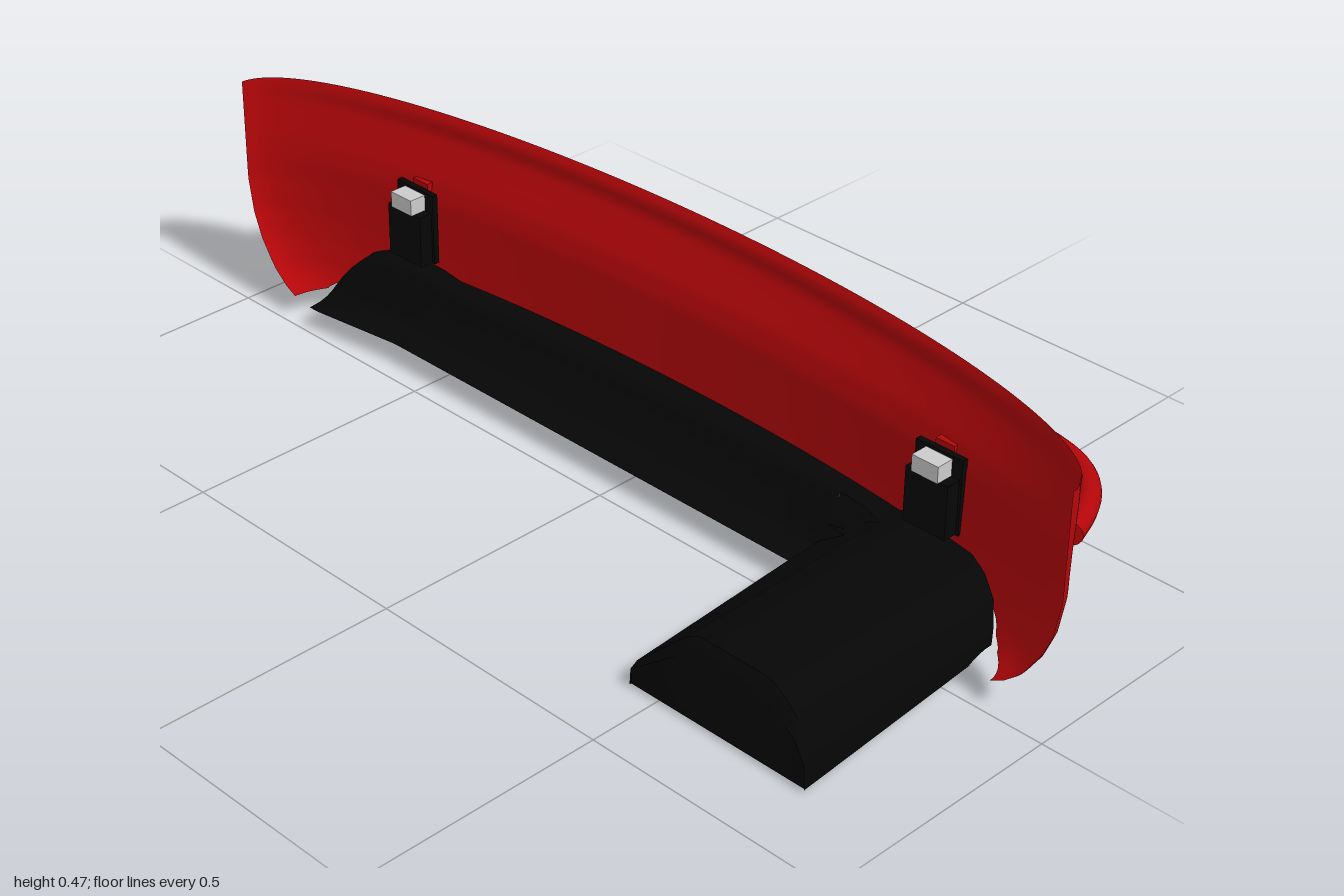
import * as THREE from 'three';
import { toCreasedNormals } from 'three/addons/utils/BufferGeometryUtils.js';

const red = new THREE.MeshStandardMaterial({ color: 0xb40609, side: THREE.DoubleSide });
const black = new THREE.MeshStandardMaterial({ color: 0x060606, side: THREE.DoubleSide });
const grey = new THREE.MeshStandardMaterial({ color: 0xcccccc });

// piecewise linear lookup through [input, output] pairs
function lookup(table, t) {
  if (t <= table[0][0]) return table[0][1];
  for (let i = 1; i < table.length; i++) {
    const [a, va] = table[i - 1], [b, vb] = table[i];
    if (t <= b) return va + (vb - va) * (t - a) / (b - a);
  }
  return table[table.length - 1][1];
}

// surface grid from a rule fn(u, v) -> [x, y, z]
function sheet(nu, nv, fn) {
  const pos = [], idx = [];
  for (let j = 0; j <= nv; j++)
    for (let i = 0; i <= nu; i++) pos.push(...fn(i / nu, j / nv));
  for (let j = 0; j < nv; j++)
    for (let i = 0; i < nu; i++) {
      const a = j * (nu + 1) + i, b = a + nu + 1;
      idx.push(a, a + 1, b, b, a + 1, b + 1);
    }
  const g = new THREE.BufferGeometry();
  g.setAttribute('position', new THREE.Float32BufferAttribute(pos, 3));
  g.setIndex(idx);
  g.computeVertexNormals();
  return g;
}

// bumper skin rules: half width and depth by height, lower edge by relative width
const halfWidth = [[0.045, 0.87], [0.06, 0.9], [0.09, 0.935], [0.14, 0.968], [0.19, 0.988], [0.26, 1], [0.465, 1]];
const depth = [[0.045, 0.19], [0.15, 0.197], [0.3, 0.202], [0.34, 0.212], [0.39, 0.236], [0.42, 0.249], [0.45, 0.247], [0.465, 0.257]];
const lowerEdge = [[0, 0.15], [0.74, 0.15], [0.8, 0.132], [0.846, 0.105], [0.9, 0.072], [0.943, 0.056], [1, 0.047]];
const skinZ = (a, y) => -0.02 - (lookup(depth, y) - 0.02) * Math.sqrt(Math.max(0, 1 - a * a));
const shellZ = (x, y) => skinZ(Math.min(1, Math.abs(x) / lookup(halfWidth, y)), y);

// undertray rules: front edge, rear height across the width, and the rise between them
const trayFront = [[0.6, -0.04], [0.8, -0.014]];
const trayTop = [[0.55, 0.152], [0.6, 0.165], [0.72, 0.165], [0.765, 0.145], [0.8, 0.1], [0.825, 0.05]];
const trayRise = [[0, 0], [0.35, 0.24], [0.55, 0.62], [0.7, 0.95], [1, 1]];
function trayY(x, z) {
  const a = Math.abs(x), zFront = lookup(trayFront, a);
  const t = (zFront - z) / (zFront - shellZ(x, lookup(trayTop, a)));
  return 0.045 + (lookup(trayTop, a) - 0.045) * lookup(trayRise, t);
}

// long forward tunnel: an arched section swept along z with a closed front end
const arch = [[0.44, 0], [0.442, 0.25], [0.5, 0.6], [0.55, 0.9], [0.58, 1], [0.73, 1],
  [0.765, 0.87], [0.8, 0.65], [0.82, 0.38], [0.822, 0]];
function tunnelPoint(u, v, rows) {
  const [x, f] = arch[Math.round(u * (arch.length - 1))];
  const row = Math.round(v * rows);
  const zRear = shellZ(x, lookup(trayTop, x));
  const z = row === 0 ? 0.357 : row === 1 ? 0.36 : 0.345 + (zRear - 0.345) * (row - 2) / (rows - 2);
  const bottom = 0.042 - 0.037 * Math.max(0, (z + 0.03) / 0.39);
  let y = bottom + (0.164 - bottom) * f * [0, 0.8, 1][Math.min(row, 2)];
  if (z < -0.04) y = Math.max(y, trayY(x, z));
  return [x, y, z];
}

export function createModel() {
  const model = new THREE.Group();
  const add = (name, geometry, material, parent = model) => {
    const m = new THREE.Mesh(geometry, material);
    m.name = name;
    parent.add(m);
    return m;
  };
  const box = (name, mat, parent, w, h, d, x, y, z) =>
    add(name, new THREE.BoxGeometry(w, h, d), mat, parent).position.set(x, y, z);
  const rod = (name, from, to, r) => {
    const a = new THREE.Vector3(...from), b = new THREE.Vector3(...to);
    const dir = b.clone().sub(a);
    const m = add(name, new THREE.CylinderGeometry(r, r, dir.length(), 20), red);
    m.position.copy(a).add(b).multiplyScalar(0.5);
    m.quaternion.setFromUnitVectors(new THREE.Vector3(0, 1, 0), dir.normalize());
  };

  // curved bumper skin with the raised lower cut-out
  add('bumperShell', sheet(120, 32, (u, v) => {
    const s = Math.sin((u - 0.5) * Math.PI), a = Math.abs(s);
    const bottom = lookup(lowerEdge, a);
    const y = bottom + (0.465 - bottom) * v;
    return [s * lookup(halfWidth, y), y, skinZ(a, y)];
  }), red);

  // black undertray filling the cut-out, and its tunnel on the left
  add('undertray', sheet(60, 20, (u, v) => {
    const x = -0.822 + 1.264 * u, a = Math.abs(x);
    const zFront = lookup(trayFront, a), zRear = shellZ(x, lookup(trayTop, a));
    const z = zFront + (zRear - zFront) * v;
    return [x, trayY(x, z), z];
  }), black);
  add('tunnel', toCreasedNormals(sheet(arch.length - 1, 32, (u, v) => tunnelPoint(u, v, 32)), 0.6), black);

  // rear guard bar, rounded forward at both ends
  const half = [[0.94, -0.108], [0.915, -0.175], [0.88, -0.23], [0.83, -0.27], [0.76, -0.292], [0.6, -0.304], [0.3, -0.323], [0.05, -0.338]];
  const points = [...half.map(([x, z]) => [-x, z]), [0, -0.34], ...half.slice().reverse()]
    .map(([x, z]) => new THREE.Vector3(x, 0.319, z));
  add('guardBar', new THREE.TubeGeometry(new THREE.CatmullRomCurve3(points, false, 'centripetal'), 120, 0.021, 16), red);

  // lower post under the brace tubes
  rod('centrePost', [0, 0, -0.228], [0, 0.09, -0.228], 0.02);

  // drilled centre strut between post and guard bar
  const plate = new THREE.Shape([[0.25, 0.068], [0.356, 0.3], [0.35, 0.318], [0.322, 0.315], [0.235, 0.115], [0.235, 0.068]]
    .map(p => new THREE.Vector2(...p)));
  for (const [z, y] of [[0.313, 0.255], [0.286, 0.195], [0.257, 0.132]])
    plate.holes.push(new THREE.Path().absarc(z, y, 0.007, 0, Math.PI * 2, true));
  const strut = add('drilledStrut', new THREE.ExtrudeGeometry(plate, { depth: 0.012, bevelEnabled: false, curveSegments: 12 }), red);
  strut.rotation.y = Math.PI / 2;
  strut.position.x = -0.006;

  for (const side of [-1, 1]) {
    // end caps of the guard bar
    const cap = add('guardBarCap', new THREE.CircleGeometry(0.021, 16), red);
    cap.position.set(side * 0.94, 0.319, -0.108);
    cap.rotation.y = side * 0.36;

    rod('braceTube', [0, 0.067, -0.228], [side * 0.635, 0.3, -0.228], 0.02);

    // mounting bracket: pocket and block inside the skin, arm and cheeks behind it
    const mount = new THREE.Group();
    mount.name = 'mountBracket';
    mount.position.x = side * 0.645;
    model.add(mount);
    box('mountPlate', black, mount, 0.1, 0.145, 0.012, 0, 0.253, -0.147);
    box('mountPocket', black, mount, 0.09, 0.105, 0.035, 0, 0.235, -0.13);
    box('mountBlock', grey, mount, 0.056, 0.032, 0.048, 0, 0.304, -0.13);
    box('mountArm', red, mount, 0.04, 0.035, 0.15, 0, 0.317, -0.23);
    for (const s of [-1, 1])
      box('mountCheek', red, mount, 0.01, 0.11, 0.03, s * 0.03, 0.25, -0.165);
  }
  return model;
}
